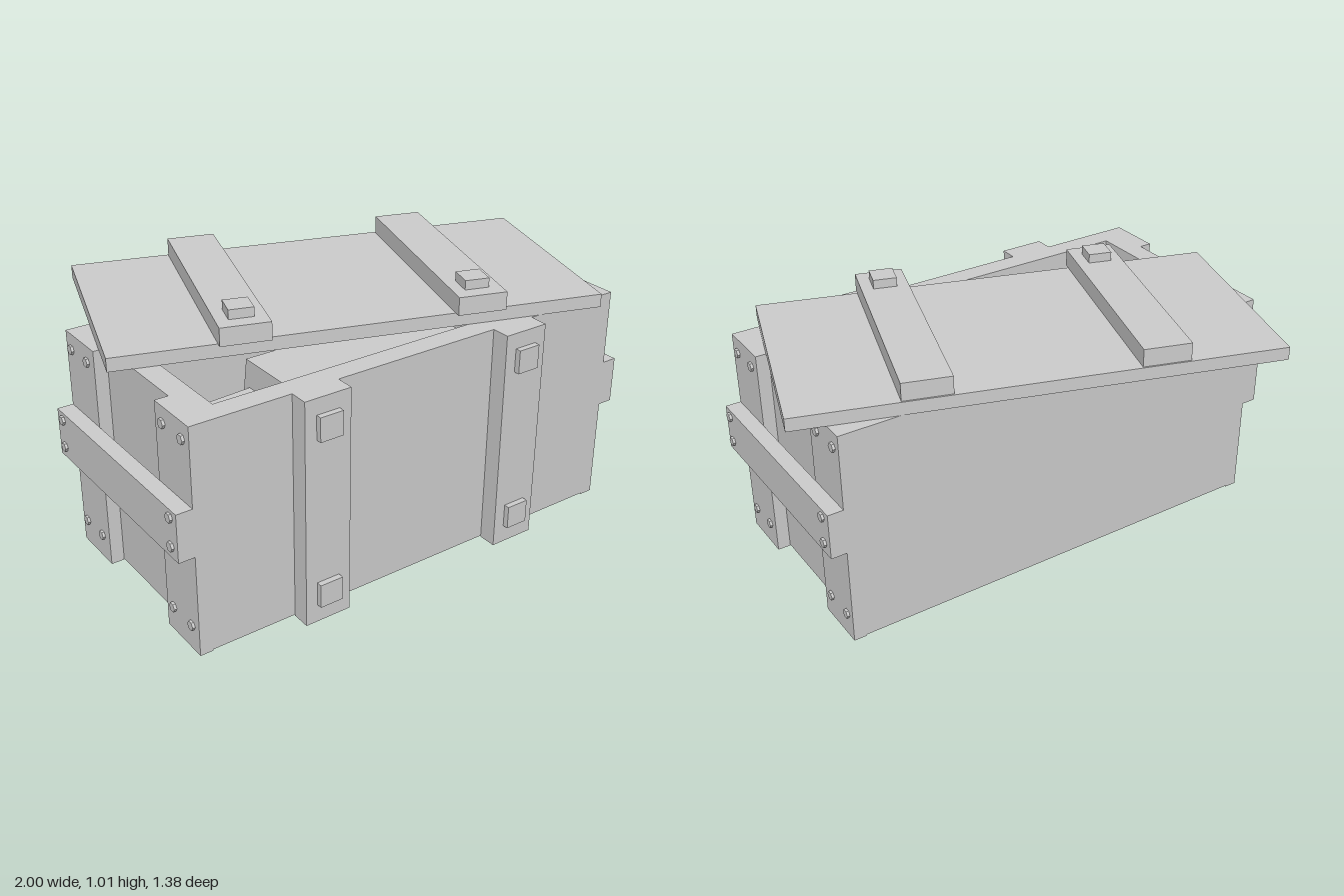
import * as THREE from 'three';

const material = new THREE.MeshStandardMaterial({ color: 0xcccccc, flatShading: true });

export function createModel() {
  const root = new THREE.Group();
  root.name = 'openCrate';

  const add = (parent, name, geometry) => {
    const mesh = new THREE.Mesh(geometry, material);
    mesh.name = name;
    parent.add(mesh);
    return mesh;
  };
  // Box given by its limits along each axis
  const block = (parent, name, x0, x1, y0, y1, z0, z1) => {
    const mesh = add(parent, name, new THREE.BoxGeometry(x1 - x0, y1 - y0, z1 - z0));
    mesh.position.set((x0 + x1) / 2, (y0 + y1) / 2, (z0 + z1) / 2);
    return mesh;
  };

  // Crate, centred on its own x and z
  const crate = new THREE.Group();
  crate.name = 'crate';
  crate.position.set(-0.035, 0, 0.1675);
  root.add(crate);
  const W = 0.85, D = 0.4275, H = 0.86, T = 0.085;

  // Four walls in one ring, and the floor
  const rect = (Type, w, d) => {
    const path = new Type();
    path.moveTo(-w, -d);
    path.lineTo(w, -d);
    path.lineTo(w, d);
    path.lineTo(-w, d);
    path.closePath();
    return path;
  };
  const ring = rect(THREE.Shape, W, D);
  ring.holes.push(rect(THREE.Path, W - T, D - T));
  const walls = new THREE.ExtrudeGeometry(ring, { depth: H - 0.005, bevelEnabled: false });
  walls.rotateX(-Math.PI / 2).translate(0, 0.005, 0);
  add(crate, 'walls', walls);
  block(crate, 'floor', -W + T, W - T, 0.005, 0.09, -D + T, D - T);

  // Front battens with square plates
  for (const x of [-0.435, 0.41]) {
    block(crate, 'frontBatten', x - 0.09, x + 0.09, 0, H, D, D + 0.07);
    for (const y of [0.115, 0.755]) {
      block(crate, 'frontPlate', x - 0.045, x + 0.045, y - 0.045, y + 0.045, D + 0.07, D + 0.092);
    }
  }

  // Ends: corner posts, carrying rail and hexagonal bolts
  const boltGeometry = new THREE.CylinderGeometry(0.018, 0.018, 0.02, 6).rotateZ(Math.PI / 2);
  for (const s of [-1, 1]) {
    const side = (name, a, b, ...rest) =>
      block(crate, name, Math.min(s * a, s * b), Math.max(s * a, s * b), ...rest);
    const bolt = (x, y, z) => add(crate, 'bolt', boltGeometry).position.set(s * x, y, z);
    side('cornerPost', W, 0.9, 0, H, D - 0.213, D);
    side('cornerPost', W, 0.9, 0, H, -D, -D + 0.213);
    side('handleRail', 0.9, 0.96, 0.39, 0.57, -D, D);
    for (const y of [0.1, 0.8]) {
      for (const z of [-0.388, -0.267, 0.262, 0.384]) bolt(0.9, y, z);
    }
    for (const y of [0.435, 0.542]) {
      for (const z of [-0.384, 0.388]) bolt(0.96, y, z);
    }
  }

  // Contents: tapered blocks lofted from [x, half width on top, half width below]
  const loft = (name, yTop, yBottom, sections) => {
    const points = sections.flatMap(([x, a, b]) =>
      [[x, yBottom, b], [x, yTop, a], [x, yTop, -a], [x, yBottom, -b]]);
    const index = [];
    for (let i = 0; i < sections.length - 1; i++) {
      for (let j = 0; j < 4; j++) {
        const p = i * 4 + j, q = i * 4 + (j + 1) % 4;
        index.push(p, p + 4, q, q, p + 4, q + 4);
      }
    }
    const e = (sections.length - 1) * 4;
    index.push(0, 1, 2, 0, 2, 3, e, e + 2, e + 1, e, e + 3, e + 2);
    const geometry = new THREE.BufferGeometry();
    geometry.setAttribute('position', new THREE.Float32BufferAttribute(points.flat(), 3));
    geometry.setIndex(index);
    const flat = geometry.toNonIndexed();
    flat.computeVertexNormals();
    add(crate, name, flat);
  };
  loft('contentsEnd', 0.56, 0.09, [[-0.685, 0.09, 0.12], [-0.565, 0.17, 0.24], [-0.305, 0.188, 0.262]]);
  loft('contentsBody', 0.67, 0.09, [[-0.305, 0.207, 0.3], [0.5, 0.207, 0.3]]);

  // Lid, set askew on the crate
  const lid = new THREE.Group();
  lid.name = 'lid';
  lid.position.set(0.0125, H, -0.01);
  lid.rotation.y = -0.311;
  root.add(lid);
  block(lid, 'lidBoard', -0.893, 0.893, 0, 0.05, -0.4265, 0.4265);
  for (const x of [-0.431, 0.417]) {
    block(lid, 'lidBatten', x - 0.09, x + 0.09, 0.05, 0.118, -0.42, 0.452);
    block(lid, 'lidPlate', x - 0.045, x + 0.045, 0.118, 0.153, 0.304, 0.394);
  }

  return root;
}
